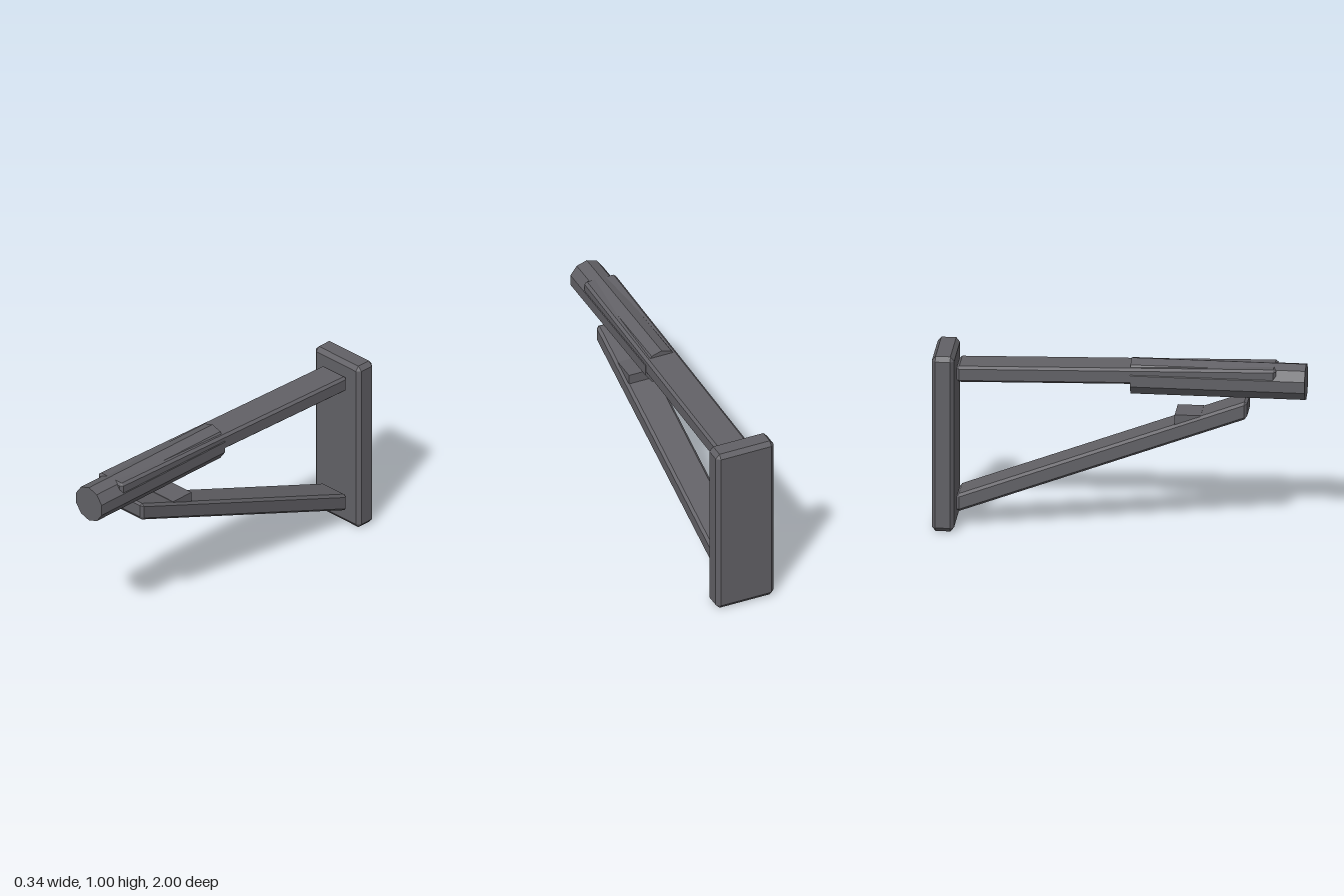
import * as THREE from 'three';
import { ConvexGeometry } from 'three/addons/geometries/ConvexGeometry.js';

// Box with every edge chamfered; slope shears it upwards along z so its ends stay vertical
function chamferedBox(w, h, d, bx, by, bz, slope = 0) {
  const x = w / 2, y = h / 2, z = d / 2;
  const points = [];
  for (const sx of [-1, 1]) for (const sy of [-1, 1]) for (const sz of [-1, 1]) {
    for (const [px, py, pz] of [
      [x, y - by, z - bz],
      [x - bx, y, z - bz],
      [x - bx, y - by, z],
    ]) {
      points.push(new THREE.Vector3(sx * px, sy * py + slope * sz * pz, sz * pz));
    }
  }
  return new ConvexGeometry(points);
}

export function createModel() {
  const group = new THREE.Group();
  const darkGrey = new THREE.MeshStandardMaterial({ color: 0x626166, flatShading: true });
  darkGrey.name = 'dark grey';

  const add = (name, geometry, x, y, z) => {
    const mesh = new THREE.Mesh(geometry, darkGrey);
    mesh.name = name;
    mesh.position.set(x, y, z);
    group.add(mesh);
  };

  // Upright plate at the back
  add('buttPlate', chamferedBox(0.342, 1, 0.12, 0.022, 0.025, 0.02), 0, 0.5, -0.94);

  // Upper arm, rising slightly towards the front
  add('upperArm', chamferedBox(0.186, 0.09, 1.72, 0.015, 0.013, 0.015, 0.027), 0, 0.9, -0.015);

  // Diagonal brace below
  add('lowerBrace', chamferedBox(0.186, 0.1, 1.565, 0.015, 0.015, 0.015, 0.381), 0, 0.435, -0.0925);

  // Ten-sided tube with a ridge at the top
  const tube = new THREE.CylinderGeometry(0.101, 0.101, 0.94, 10);
  tube.rotateX(Math.PI / 2);
  add('tube', tube, 0, 0.877, 0.53);

  // Small stop block on the brace
  add('stopBlock', new THREE.BoxGeometry(0.16, 0.09, 0.14), 0, 0.645, 0.37);

  return group;
}
